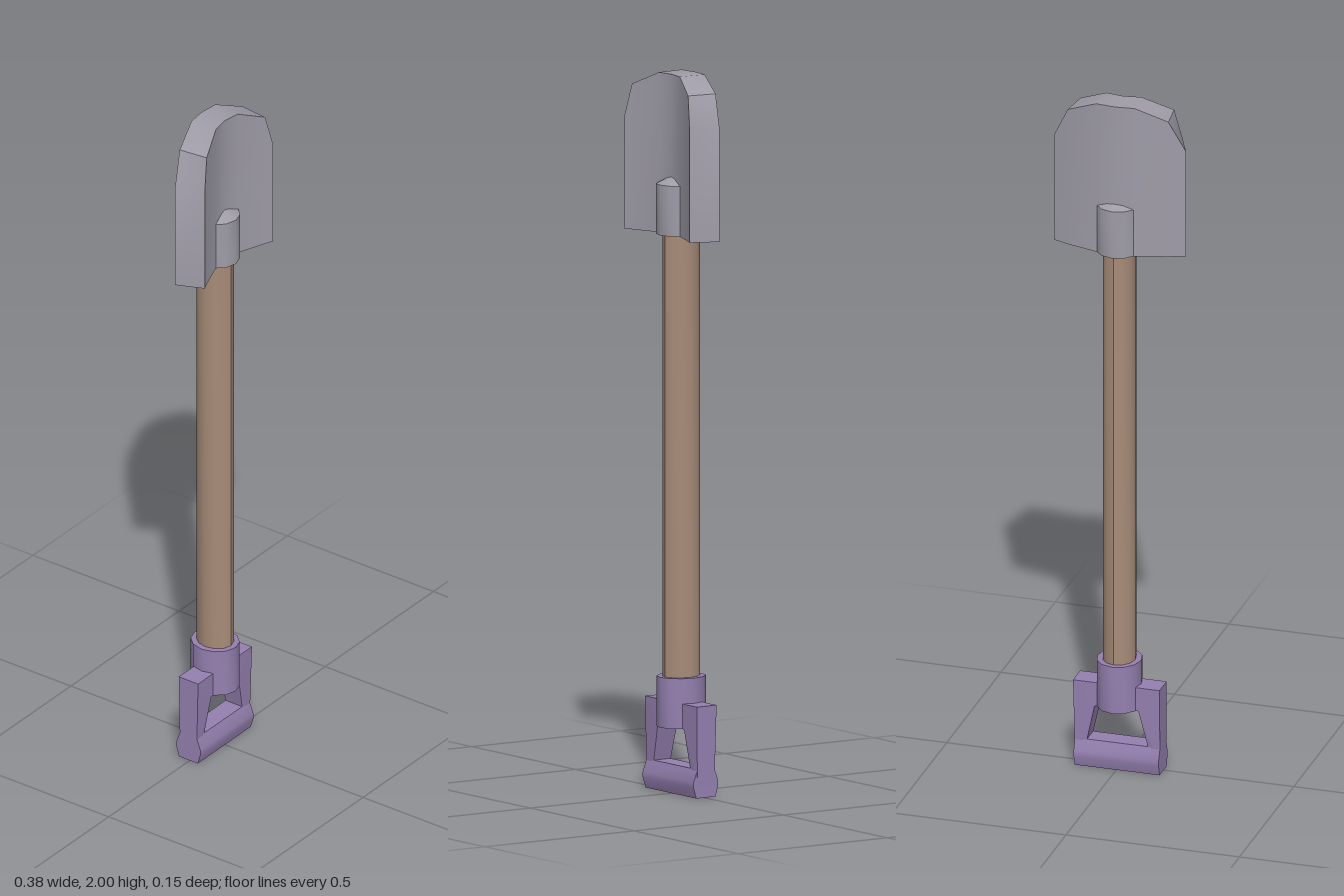
import * as THREE from 'three';
import { toCreasedNormals } from 'three/addons/utils/BufferGeometryUtils.js';

const mat = (name, color) => {
  const m = new THREE.MeshStandardMaterial({ color });
  m.name = name;
  return m;
};

// Curved blade: mirrored columns, each with a front and a back edge
function bladeGeometry() {
  const base = 1.555;
  // front x, front z, back x, back z, top y
  const half = [
    [0, 0.026, 0, -0.052, 2.0],
    [0.05, 0.034, 0.055, -0.046, 2.0],
    [0.135, 0.065, 0.145, -0.02, 1.96],
    [0.157, 0.075, 0.19, -0.002, 1.87],
  ];
  const cols = [
    ...half.slice(1).reverse().map(([fx, fz, bx, bz, t]) => [-fx, fz, -bx, bz, t]),
    ...half,
  ].map(([fx, fz, bx, bz, t]) => ({
    fb: [fx, base, fz], ft: [fx, t, fz], bb: [bx, base, bz], bt: [bx, t, bz],
  }));
  const pos = [];
  const quad = (a, b, c, d) => pos.push(...a, ...b, ...c, ...a, ...c, ...d);
  for (let i = 0; i < cols.length - 1; i++) {
    const l = cols[i], r = cols[i + 1];
    quad(l.fb, r.fb, r.ft, l.ft); // front
    quad(r.bb, l.bb, l.bt, r.bt); // back
    quad(l.ft, r.ft, r.bt, l.bt); // top
    quad(l.bb, r.bb, r.fb, l.fb); // bottom
  }
  const l = cols[0], r = cols[cols.length - 1];
  quad(l.bb, l.fb, l.ft, l.bt);
  quad(r.fb, r.bb, r.bt, r.ft);
  const geo = new THREE.BufferGeometry();
  geo.setAttribute('position', new THREE.Float32BufferAttribute(pos, 3));
  return toCreasedNormals(geo, 0.6);
}

// Upright turned part, closed at both ends, slightly narrowed across x
function turned(points, sides, sx) {
  const geo = new THREE.LatheGeometry(points.map(([r, y]) => new THREE.Vector2(r, y)), sides);
  geo.scale(sx, 1, 1).translate(0, 0, -0.006);
  return toCreasedNormals(geo, 0.6);
}

const outline = (points) => points.map(([x, y]) => new THREE.Vector2(x, y));

// Handle frame with a tapered opening
function frameGeometry() {
  const shape = new THREE.Shape(outline([
    [-0.125, 0.03], [0.12, 0.03], [0.124, 0.255], [-0.125, 0.255],
  ]));
  shape.holes.push(new THREE.Path(outline([
    [-0.09, 0.08], [-0.064, 0.185], [0.062, 0.185], [0.085, 0.08],
  ])));
  const geo = new THREE.ExtrudeGeometry(shape, { depth: 0.066, bevelEnabled: false });
  // Waist the legs a little towards the grip
  const p = geo.attributes.position;
  for (let i = 0; i < p.count; i++) {
    const k = p.getY(i) < 0.1 ? 0.86 : 1;
    p.setZ(i, (p.getZ(i) - 0.033) * k - 0.005);
  }
  geo.computeVertexNormals();
  return geo;
}

// Rounded grip bar, its profile swept along x
function gripGeometry() {
  const shape = new THREE.Shape(outline([
    [-0.032, 0], [0.032, 0], [0.041, 0.03], [0.041, 0.045],
    [0.028, 0.08], [-0.028, 0.08], [-0.041, 0.045], [-0.041, 0.03],
  ]));
  const geo = new THREE.ExtrudeGeometry(shape, { depth: 0.245, bevelEnabled: false });
  geo.rotateY(Math.PI / 2).translate(-0.125, 0, -0.005);
  return toCreasedNormals(geo, 0.5);
}

export function createModel() {
  const metal = mat('grey metal', 0x9f9ca8);
  const wood = mat('brown wood', 0xa88c78);
  const purple = mat('purple handle', 0x9580b0);

  const group = new THREE.Group();
  group.name = 'shovel';
  const add = (name, geo, material) => {
    const mesh = new THREE.Mesh(geo, material);
    mesh.name = name;
    group.add(mesh);
  };

  add('blade', bladeGeometry(), metal);
  add('socket', turned([[0, 1.555], [0.071, 1.555], [0.071, 1.695], [0, 1.73]], 12, 0.92), metal);
  add('shaft', turned([[0, 0.3], [0.054, 0.3], [0.054, 1.57], [0, 1.57]], 12, 0.85), wood);
  add('collar', turned([[0, 0.185], [0.07, 0.185], [0.07, 0.325], [0, 0.325]], 12, 0.9), purple);
  add('handleFrame', frameGeometry(), purple);
  add('grip', gripGeometry(), purple);
  return group;
}
